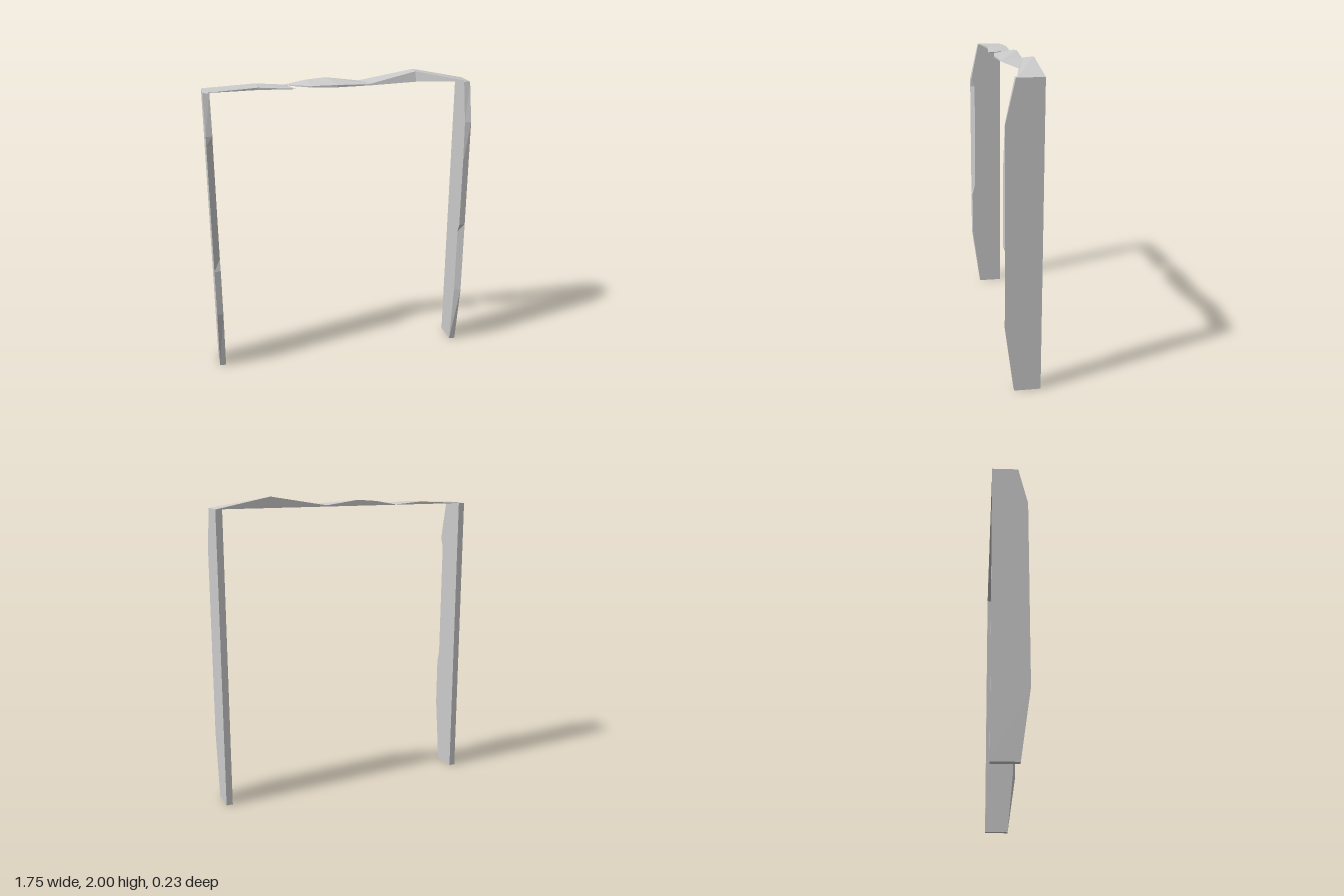
import * as THREE from 'three';

const BACK = -0.115, TOP = 1.93, OUTER = 0.875, INNER = 0.833;

// Skin a row of four-cornered rings, each counter-clockwise about the direction of travel
function loft(rings, name) {
  const pos = [];
  const quad = (a, b, c, d) => pos.push(...a, ...b, ...c, ...a, ...c, ...d);
  for (let i = 0; i < rings.length - 1; i++) {
    const a = rings[i], b = rings[i + 1];
    for (let k = 0; k < 4; k++) {
      const n = (k + 1) % 4;
      quad(a[k], a[n], b[n], b[k]);
    }
  }
  const s = rings[0], e = rings[rings.length - 1];
  quad(s[3], s[2], s[1], s[0]);
  quad(e[0], e[1], e[2], e[3]);
  const g = new THREE.BufferGeometry();
  g.setAttribute('position', new THREE.Float32BufferAttribute(pos, 3));
  g.computeVertexNormals();
  const mesh = new THREE.Mesh(g, new THREE.MeshStandardMaterial({
    color: 0xcccccc, flatShading: true, side: THREE.DoubleSide,
  }));
  mesh.name = name;
  return mesh;
}

// Upright post; stations are [y, front z of outer edge, front z of inner edge]
function jamb(side, stations, name) {
  const rings = stations.map(([y, zOut, zIn]) => {
    const ring = [
      [side * INNER, y, zIn], [side * OUTER, y, zOut],
      [side * OUTER, y, BACK], [side * INNER, y, BACK],
    ];
    return side > 0 ? ring : ring.reverse();
  });
  return loft(rings, name);
}

export function createModel() {
  const group = new THREE.Group();
  group.name = 'brokenDoorFrame';

  // Posts with chipped inner front edges
  group.add(jamb(1, [
    [0, 0.05, 0.05], [0.43, 0.11, 0.09], [0.88, 0.11, 0.09], [0.94, 0.11, 0.115],
    [1.4, 0.11, 0.115], [1.67, 0.11, 0.105], [TOP, 0.05, 0.05],
  ], 'leftJamb'));
  group.add(jamb(-1, [
    [0, 0.05, 0.05], [0.43, 0.11, 0.105], [0.75, 0.11, 0.105], [0.83, 0.11, 0.085],
    [1.61, 0.11, 0.08], [1.67, 0.11, 0.105], [TOP, 0.05, 0.05],
  ], 'rightJamb'));

  // Splintered top beam: [front x, front z, front height, back x, back height, top edge setback]
  const beam = [
    [-OUTER, 0.045, 0, -OUTER, 0, 0],
    [-0.53, 0.02, 0.015, -0.53, 0.017, 0],
    [-0.29, 0.045, 0.002, -0.36, 0.003, 0],
    [-0.34, -0.09, 0.002, -0.34, 0.003, 0],
    [-0.18, 0.02, 0.01, -0.2, 0.028, 0],
    [-0.02, 0.045, 0.015, -0.07, 0.038, 0],
    [0.2, 0.03, 0.01, 0.15, 0.008, 0.004],
    [0.525, -0.025, 0.064, 0.525, 0.07, 0.025],
    [OUTER, 0.045, 0, OUTER, 0, 0],
  ];
  group.add(loft(beam.map(([fx, fz, fh, bx, bh, set]) => [
    [bx, TOP + bh, BACK], [fx, TOP + fh, fz - set], [fx, TOP, fz], [bx, TOP, BACK],
  ]), 'lintel'));

  return group;
}
